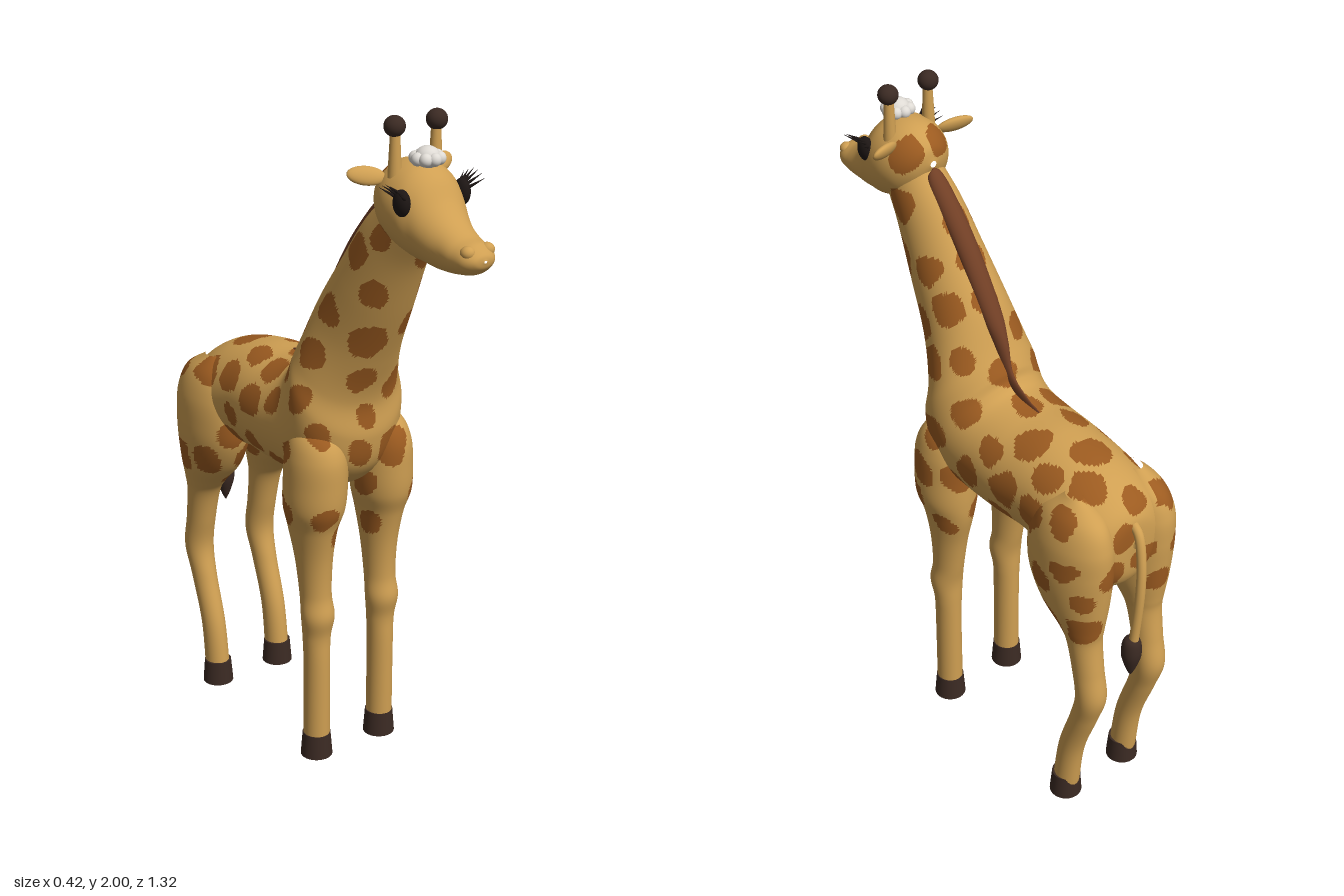
import * as THREE from 'three';

const mat = (name, color) => new THREE.MeshStandardMaterial({ name, color });

// small seeded random
function seeded(s) {
  return () => {
    s = (s * 1664525 + 1013904223) % 4294967296;
    return s / 4294967296;
  };
}

// Smooth closed skin through rings. Row: [backZ, backY, frontZ, frontY, halfWidth, centreX]
function loft(rows, rings, segs) {
  const back = new THREE.CatmullRomCurve3(rows.map(r => new THREE.Vector3(r[4], r[1], r[0])), false, 'catmullrom', 0.5);
  const front = new THREE.CatmullRomCurve3(rows.map(r => new THREE.Vector3(r[5] || 0, r[3], r[2])), false, 'catmullrom', 0.5);
  const pos = [], index = [];
  for (let i = 0; i <= rings; i++) {
    const b = back.getPoint(i / rings), f = front.getPoint(i / rings);
    for (let j = 0; j < segs; j++) {
      const a = (j / segs) * Math.PI * 2, c = (1 + Math.cos(a)) / 2;
      pos.push(f.x + Math.sin(a) * Math.max(b.x, 0.002), f.y + (b.y - f.y) * c, f.z + (b.z - f.z) * c);
      if (i < rings) {
        const k = (j + 1) % segs, p = i * segs, q = p + segs;
        index.push(p + j, q + j, p + k, p + k, q + j, q + k);
      }
    }
  }
  const g = new THREE.BufferGeometry();
  g.setAttribute('position', new THREE.Float32BufferAttribute(pos, 3));
  g.setIndex(index);
  g.computeVertexNormals();
  return g;
}

// Scatter patches over a skin: spread out centres, then sort faces into coat and patch groups
function makeSpotter() {
  const rand = seeded(29), seeds = [];
  return (g, allowed) => {
    const p = g.attributes.position, idx = g.index.array, n = idx.length / 3, mid = [];
    for (let t = 0; t < n; t++) {
      const c = new THREE.Vector3();
      for (let k = 0; k < 3; k++) c.add(new THREE.Vector3().fromBufferAttribute(p, idx[t * 3 + k]));
      mid.push(c.divideScalar(3));
    }
    for (let k = 0; k < 6000; k++) {
      const c = mid[Math.floor(rand() * n)];
      if (allowed(c) && seeds.every(s => s.c.distanceTo(c) > 0.108)) seeds.push({ c, r: 0.036 + rand() * 0.022 });
    }
    const coat = [], patch = [];
    mid.forEach((c, t) => {
      let d1 = 9, d2 = 9, r = 0;
      for (const s of seeds) {
        const d = s.c.distanceTo(c);
        if (d < d1) { d2 = d1; d1 = d; r = s.r; } else if (d < d2) d2 = d;
      }
      const wobble = 0.005 * (Math.sin(c.x * 70 + c.y * 45) + Math.sin(c.z * 65 - c.y * 55));
      (d1 + wobble < r && d2 - d1 > 0.022 ? patch : coat).push(idx[t * 3], idx[t * 3 + 1], idx[t * 3 + 2]);
    });
    g.setIndex([...coat, ...patch]);
    g.addGroup(0, coat.length, 0);
    g.addGroup(coat.length, patch.length, 1);
    return g;
  };
}

export function createModel() {
  const model = new THREE.Group();
  const tan = mat('tan coat', 0xcf9f52), brown = mat('brown patches', 0x9c5b20);
  const maneMat = mat('mane brown', 0x713f25), dark = mat('dark brown', 0x3b2a23);
  const black = mat('eye black', 0x1d1614), white = mat('white hair', 0xdedad4);
  const spot = makeSpotter();

  const add = (name, geo, material, parent = model) => {
    const m = new THREE.Mesh(geo, material);
    m.name = name;
    parent.add(m);
    return m;
  };
  const ball = (name, material, at, size, parent) => {
    const m = add(name, new THREE.SphereGeometry(1, 24, 16), material, parent);
    m.position.set(...at);
    m.scale.set(...size);
    return m;
  };

  // torso running into the neck
  const body = loft([
    [-0.595, 0.99, -0.595, 0.96, 0.01], [-0.585, 1.06, -0.585, 0.86, 0.09], [-0.54, 1.11, -0.54, 0.81, 0.15],
    [-0.44, 1.16, -0.45, 0.81, 0.175], [-0.3, 1.188, -0.3, 0.85, 0.175], [-0.18, 1.192, -0.17, 0.85, 0.183],
    [-0.1, 1.205, -0.03, 0.85, 0.183], [-0.07, 1.23, 0.08, 0.86, 0.183], [-0.06, 1.26, 0.16, 0.93, 0.182],
    [-0.045, 1.29, 0.187, 1.03, 0.178], [-0.025, 1.33, 0.187, 1.14, 0.158], [0.03, 1.45, 0.235, 1.27, 0.128],
    [0.12, 1.58, 0.31, 1.43, 0.108], [0.2, 1.69, 0.375, 1.57, 0.092], [0.27, 1.76, 0.43, 1.66, 0.08],
  ], 200, 110);
  add('bodyAndNeck', spot(body, c => c.y > 0.9 && c.y < 1.68), [tan, brown]);

  // head and muzzle
  const head = loft([
    [0.265, 1.79, 0.265, 1.77, 0.01], [0.275, 1.83, 0.29, 1.71, 0.06], [0.31, 1.865, 0.33, 1.66, 0.095],
    [0.36, 1.88, 0.38, 1.64, 0.112], [0.42, 1.875, 0.43, 1.625, 0.11], [0.465, 1.845, 0.465, 1.62, 0.095],
    [0.505, 1.79, 0.505, 1.615, 0.08], [0.545, 1.75, 0.545, 1.615, 0.068], [0.59, 1.722, 0.585, 1.62, 0.063],
    [0.63, 1.71, 0.63, 1.63, 0.055], [0.655, 1.69, 0.655, 1.65, 0.033], [0.662, 1.675, 0.662, 1.668, 0.005],
  ], 80, 56);
  add('head', spot(head, c => c.z < 0.35 && c.y > 1.8), [tan, brown]);

  // legs, rows: [y, centreZ, radiusZ, centreX, radiusX]
  const frontRows = [
    [0.03, 0.085, 0.041, 0.117, 0.039], [0.3, 0.087, 0.042, 0.117, 0.038], [0.4, 0.087, 0.042, 0.117, 0.042],
    [0.47, 0.093, 0.049, 0.117, 0.05], [0.54, 0.082, 0.05, 0.117, 0.046], [0.65, 0.075, 0.063, 0.118, 0.052],
    [0.75, 0.072, 0.085, 0.12, 0.066], [0.82, 0.08, 0.1, 0.12, 0.085], [0.9, 0.083, 0.103, 0.117, 0.088],
    [0.98, 0.083, 0.1, 0.115, 0.083], [1.04, 0.08, 0.075, 0.11, 0.065], [1.08, 0.08, 0.02, 0.1, 0.02],
  ];
  const hindRows = [
    [0.03, -0.467, 0.042, 0.115, 0.037], [0.2, -0.488, 0.041, 0.115, 0.036], [0.35, -0.535, 0.043, 0.115, 0.038],
    [0.45, -0.561, 0.046, 0.115, 0.045], [0.55, -0.545, 0.048, 0.115, 0.045], [0.65, -0.525, 0.055, 0.115, 0.05],
    [0.7, -0.51, 0.074, 0.115, 0.06], [0.77, -0.48, 0.113, 0.115, 0.08], [0.85, -0.462, 0.138, 0.115, 0.093],
    [0.92, -0.458, 0.146, 0.115, 0.095], [1.0, -0.46, 0.14, 0.115, 0.088], [1.07, -0.46, 0.11, 0.112, 0.065],
    [1.12, -0.46, 0.03, 0.11, 0.02],
  ];
  for (const side of [1, -1]) {
    const label = side > 0 ? 'left' : 'right';
    for (const [part, rows] of [['Front', frontRows], ['Hind', hindRows]]) {
      const leg = loft(rows.map(([y, z, rz, x, rx]) => [z - rz, y, z + rz, y, rx, x * side]), 110, 52);
      add(label + part + 'Leg', spot(leg, c => c.y > 0.72), [tan, brown]);
      const hoof = add(label + part + 'Hoof', new THREE.CylinderGeometry(0.042, 0.048, 0.075, 28), dark);
      hoof.position.set(rows[0][3] * side, 0.0375, rows[0][1]);
    }

    // horn
    const horn = add(label + 'Horn', new THREE.CylinderGeometry(0.013, 0.02, 0.14, 16), tan);
    horn.position.set(0.067 * side, 1.89, 0.37);
    ball(label + 'HornTip', dark, [0.069 * side, 1.972, 0.37], [0.029, 0.028, 0.029]);

    // leaf shaped ear
    const ear = ball(label + 'Ear', tan, [0.122 * side, 1.84, 0.322], [0.054, 0.026, 0.014]);
    ear.rotation.set(-0.5, 0.25 * side, 0.3 * side);

    // eye with a fan of lashes
    ball(label + 'Eye', black, [0.099 * side, 1.79, 0.442], [0.02, 0.036, 0.028]);
    for (let i = 0; i < 6; i++) {
      const lash = new THREE.ConeGeometry(0.005, 0.05, 6);
      lash.translate(0, 0.025, 0);
      const m = add(label + 'Lash', lash, black);
      m.position.set(0.105 * side, 1.805 + 0.012 * Math.sin(i * 0.63), 0.422 + i * 0.008);
      const dir = new THREE.Vector3(0.8 * side, 0.55, (i - 2.5) * 0.22).normalize();
      m.quaternion.setFromUnitVectors(new THREE.Vector3(0, 1, 0), dir);
    }
    ball(label + 'Nostril', tan, [0.032 * side, 1.692, 0.628], [0.02, 0.018, 0.02]);
  }

  // mane along the back of the neck
  add('mane', loft([
    [-0.19, 1.194, -0.18, 1.17, 0.004], [-0.14, 1.212, -0.12, 1.18, 0.005], [-0.075, 1.26, -0.04, 1.23, 0.009],
    [-0.045, 1.35, 0.0, 1.32, 0.02], [-0.005, 1.43, 0.04, 1.4, 0.03], [0.1, 1.595, 0.14, 1.55, 0.033],
    [0.19, 1.705, 0.23, 1.66, 0.032], [0.25, 1.762, 0.27, 1.72, 0.025], [0.265, 1.77, 0.27, 1.75, 0.005],
  ], 60, 24), maneMat);

  // curly hair on the forehead
  const hair = new THREE.Group();
  hair.name = 'foreheadHair';
  model.add(hair);
  ball('hairCentre', white, [0, 1.892, 0.42], [0.034, 0.03, 0.034], hair);
  for (let i = 0; i < 8; i++) {
    const a = (i / 8) * Math.PI * 2;
    ball('hairCurl', white, [0.032 * Math.cos(a), 1.89, 0.42 + 0.03 * Math.sin(a)], [0.018, 0.018, 0.018], hair);
  }

  // tail and its tuft
  const path = new THREE.CatmullRomCurve3([
    [0, 1.04, -0.575], [0.004, 1.02, -0.605], [0.012, 0.95, -0.63], [0.022, 0.85, -0.643], [0.032, 0.66, -0.637],
  ].map(p => new THREE.Vector3(...p)));
  add('tail', new THREE.TubeGeometry(path, 40, 0.014, 14), tan);
  const tuft = [[0.002, 0.54], [0.014, 0.565], [0.028, 0.61], [0.029, 0.645], [0.022, 0.672], [0.002, 0.685]];
  const curve = new THREE.SplineCurve(tuft.map(p => new THREE.Vector2(...p)));
  add('tailTuft', new THREE.LatheGeometry(curve.getPoints(20), 20), dark).position.set(0.033, 0, -0.632);

  return model;
}
